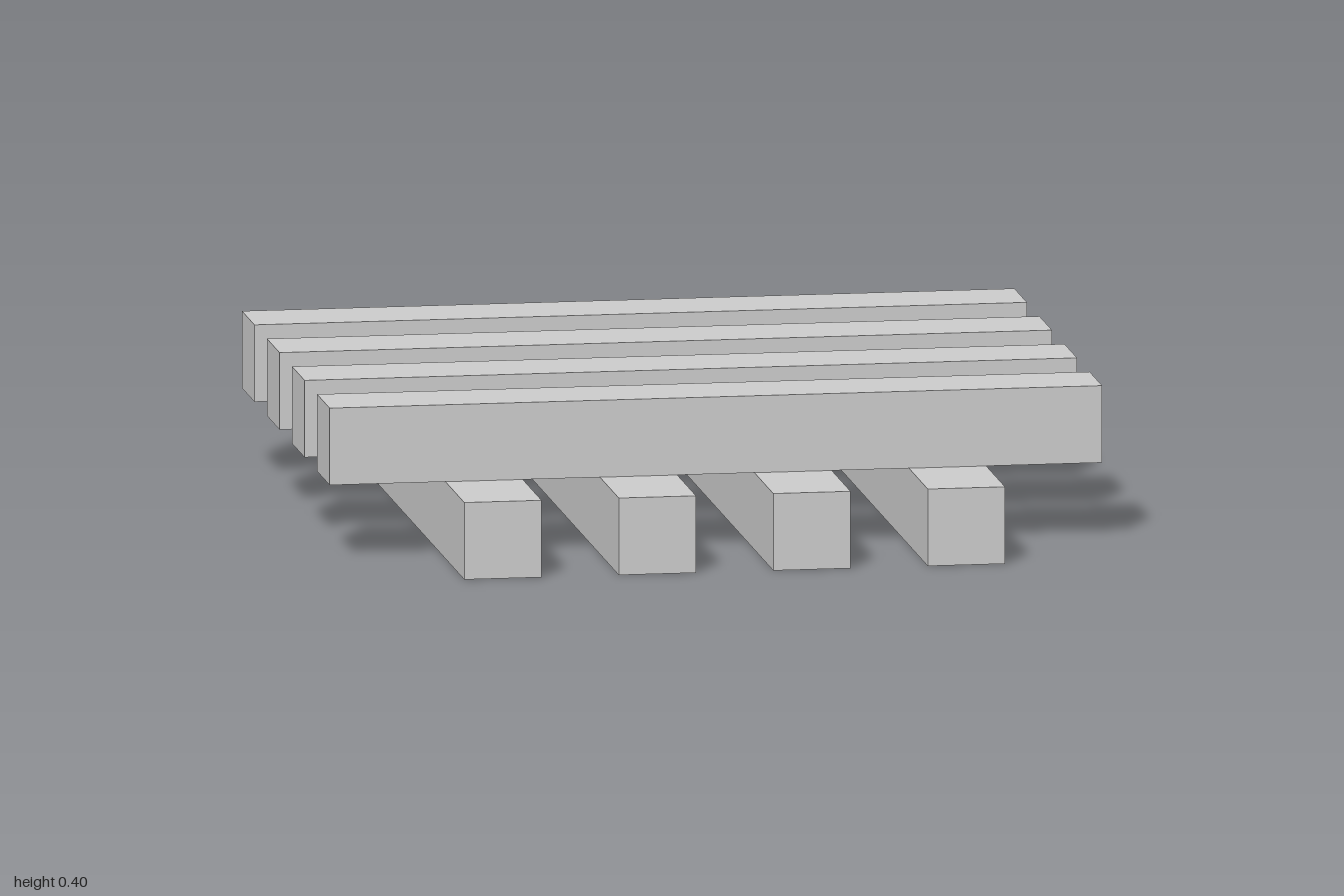
import * as THREE from 'three';

const SIZE = 0.2;                        // square bar section
const LENGTH = 2;
const OFFSETS = [-0.6, -0.2, 0.2, 0.6];  // bar centres across each layer

export function createModel() {
  const model = new THREE.Group();
  model.name = 'crossedBeams';
  const material = new THREE.MeshStandardMaterial({ color: 0xcccccc, flatShading: true });

  // One layer of four parallel bars
  function addLayer(layerName, barName, geometry, axis, y) {
    const layer = new THREE.Group();
    layer.name = layerName;
    layer.position.y = y;
    OFFSETS.forEach((offset, i) => {
      const bar = new THREE.Mesh(geometry, material);
      bar.name = `${barName}${i + 1}`;
      bar.position[axis] = offset;
      layer.add(bar);
    });
    model.add(layer);
  }

  // Lower bars run front to back, upper bars rest on them side to side
  addLayer('lowerLayer', 'lowerBar', new THREE.BoxGeometry(SIZE, SIZE, LENGTH), 'x', SIZE / 2);
  addLayer('upperLayer', 'upperBar', new THREE.BoxGeometry(LENGTH, SIZE, SIZE), 'z', SIZE * 1.5);

  return model;
}
